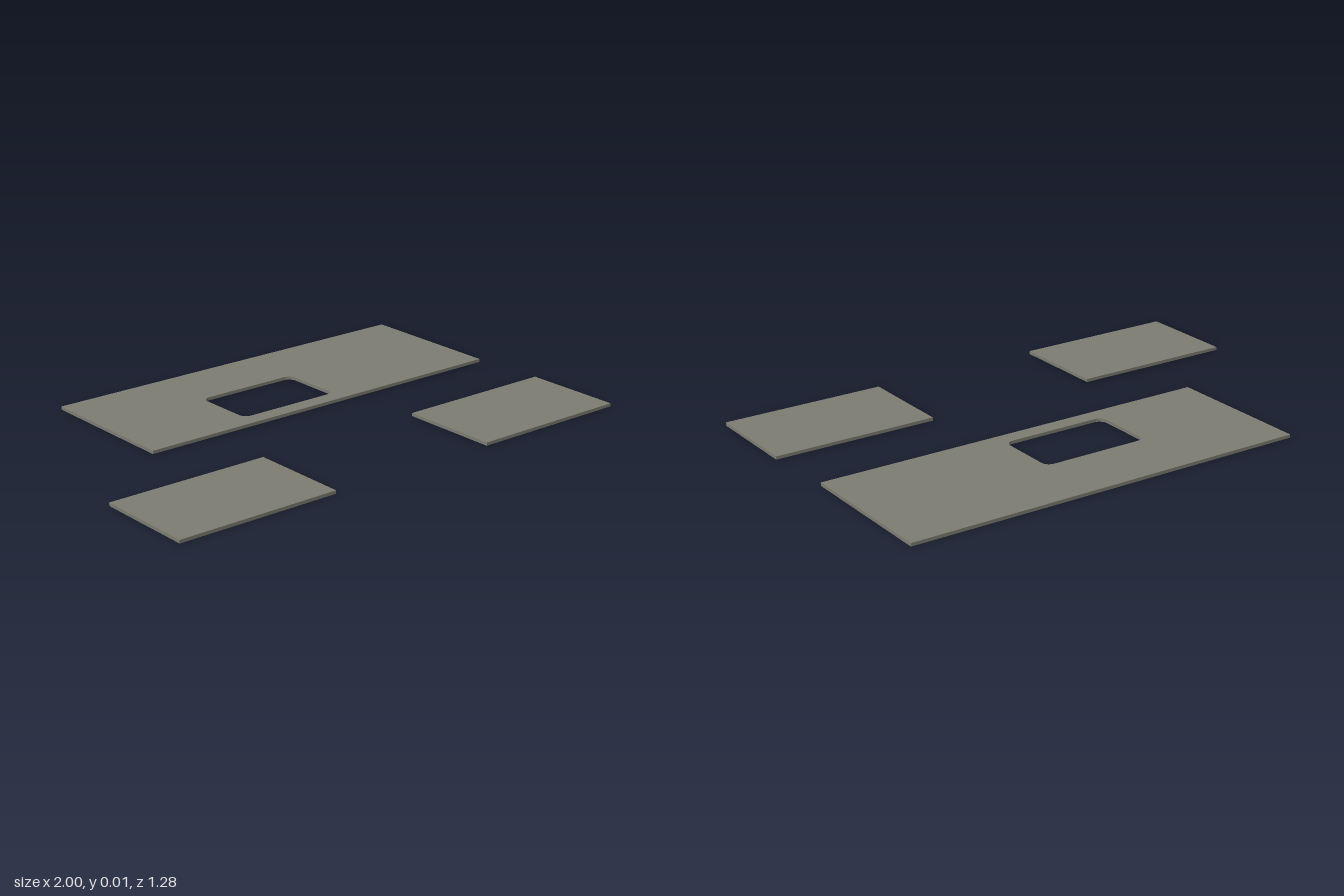
import * as THREE from 'three';

const THICKNESS = 0.0125;

// Rectangle outline, optionally with rounded corners
function outline(path, x0, y0, x1, y1, r = 0) {
  if (r === 0) {
    path.moveTo(x0, y0).lineTo(x1, y0).lineTo(x1, y1).lineTo(x0, y1);
  } else {
    path.absarc(x1 - r, y0 + r, r, -Math.PI / 2, 0);
    path.absarc(x1 - r, y1 - r, r, 0, Math.PI / 2);
    path.absarc(x0 + r, y1 - r, r, Math.PI / 2, Math.PI);
    path.absarc(x0 + r, y0 + r, r, Math.PI, Math.PI * 1.5);
  }
  path.closePath();
  return path;
}

export function createModel() {
  const group = new THREE.Group();
  const stone = new THREE.MeshStandardMaterial({ color: 0x7d7c71 });
  stone.name = 'warm grey stone';

  // Main slab with the rounded cut-out; shape y is -z once laid flat
  const shape = outline(new THREE.Shape(), -0.617, 0.048, 0.983, 0.638);
  shape.holes.push(outline(new THREE.Path(), -0.159, 0.112, 0.269, 0.37, 0.032));
  const slab = new THREE.ExtrudeGeometry(shape, { depth: THICKNESS, bevelEnabled: false, curveSegments: 8 });
  slab.rotateX(-Math.PI / 2);
  const mainSlab = new THREE.Mesh(slab, stone);
  mainSlab.name = 'mainSlab';
  group.add(mainSlab);

  // Two plain side slabs in front, mirrored across x
  for (const [name, side] of [['leftSlab', 1], ['rightSlab', -1]]) {
    const mesh = new THREE.Mesh(new THREE.BoxGeometry(0.648, THICKNESS, 0.394), stone);
    mesh.position.set(side * 0.676, THICKNESS / 2, 0.441);
    mesh.name = name;
    group.add(mesh);
  }
  return group;
}
